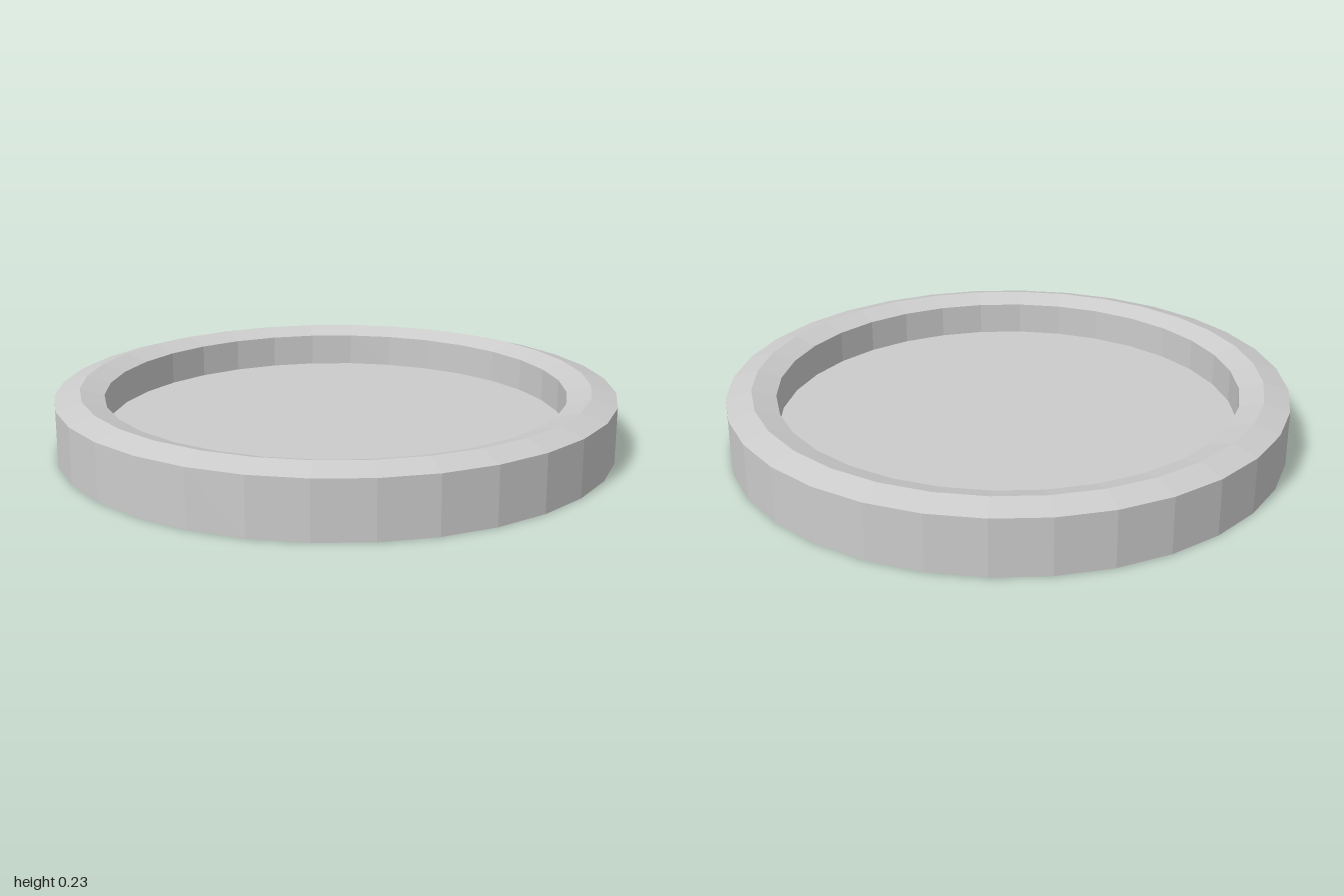
import * as THREE from 'three';

const SIDES = 32;

export function createModel() {
  const model = new THREE.Group();
  model.name = 'roundTray';
  const material = new THREE.MeshStandardMaterial({ color: 0xcccccc, flatShading: true });

  // Closed half section: underside, outer wall, ridged rim, inner wall, recessed floor
  const profile = [
    [0, 0], [1, 0], [1, 0.2], [0.91, 0.226], [0.825, 0.2], [0.825, 0.08], [0, 0.08],
  ].map(([r, y]) => new THREE.Vector2(r, y));

  const tray = new THREE.Mesh(new THREE.LatheGeometry(profile, SIDES), material);
  tray.name = 'trayBody';
  model.add(tray);
  return model;
}
